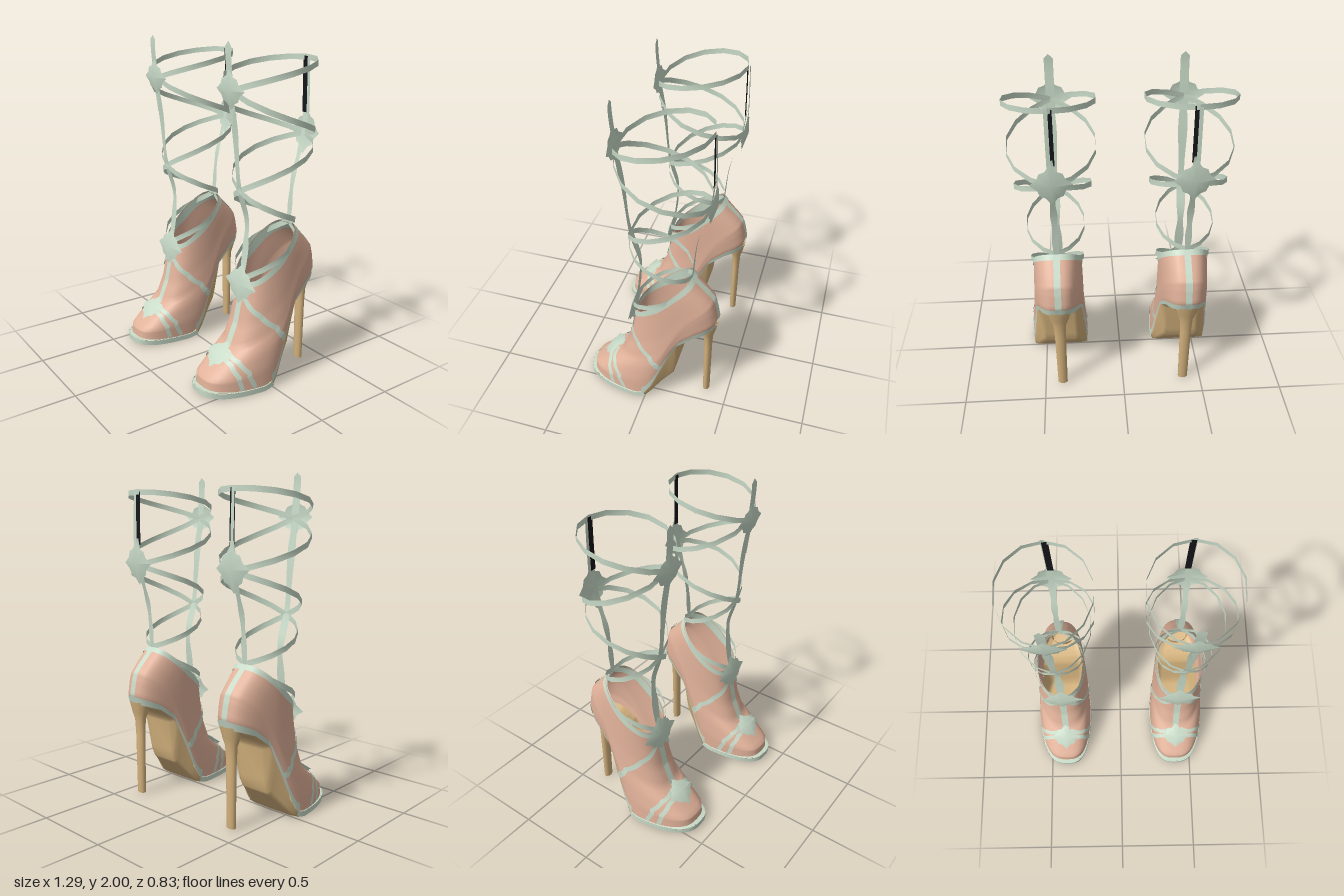
import * as THREE from 'three';

const mat = (name, color) => {
  const m = new THREE.MeshStandardMaterial({ color, side: THREE.DoubleSide });
  m.name = name;
  return m;
};
const V = (x, y, z) => new THREE.Vector3(x, y, z);
const { lerp, smoothstep, clamp } = THREE.MathUtils;
const PI = Math.PI;

// Piecewise linear lookup in a list of [key, value] with rising keys
function lookup(table, k) {
  for (let i = 1; i < table.length; i++) {
    const [k0, v0] = table[i - 1], [k1, v1] = table[i];
    if (k <= k1) return lerp(v0, v1, clamp((k - k0) / (k1 - k0), 0, 1));
  }
  return table[table.length - 1][1];
}

// Rings of the upper: front z, front y, back z, back y, half width, arch amount
const RINGS = [
  [0.385, 0.05, -0.40, 0.60, 0.185, 1],
  [0.38, 0.10, -0.415, 0.66, 0.185, 0.8],
  [0.29, 0.175, -0.40, 0.74, 0.178, 0.6],
  [0.19, 0.25, -0.385, 0.79, 0.167, 0.4],
  [0.135, 0.38, -0.35, 0.83, 0.158, 0.25],
  [0.105, 0.52, -0.30, 0.88, 0.153, 0.1],
  [0.085, 0.64, -0.245, 0.935, 0.148, 0],
];
const TOP = RINGS.length - 1;
// Lower edge compared with a straight line from toe to heel
const ARCH = [[0, 0], [0.12, -0.075], [0.25, -0.15], [0.42, -0.245], [0.49, -0.27], [0.55, -0.225],
  [0.61, -0.13], [0.73, 0.025], [0.86, 0.035], [1, 0]];
// Underside of the sole, by z
const UNDER = [[-0.42, 0.585], [-0.25, 0.53], [-0.195, 0.44], [-0.18, 0.2], [0, 0.005], [0.2, 0.008], [0.41, 0.02]];

// Point on the upper: a runs round from the toe, t from sole to collar
function upperPoint(a, t, s) {
  const i = Math.min(Math.floor(t), TOP - 1);
  const [fz, fy, bz, by, w, f] = RINGS[i].map((v, k) => lerp(v, RINGS[i + 1][k], t - i));
  const u = (1 - Math.cos(a)) / 2, sn = Math.sin(a);
  const width = w * (1 - 0.19 * f * smoothstep(u, 0.4, 0.75));
  const bump = s * 0.015 * f * sn * sn * (1 - smoothstep(u, 0.4, 0.8));
  return V(Math.sign(sn) * Math.abs(sn) ** 0.68 * width + bump, lerp(fy, by, u) + f * lookup(ARCH, u), lerp(fz, bz, u));
}
function upperNormal(a, t, s) {
  const e = 0.04, t0 = Math.max(0, t - e), t1 = Math.min(TOP, t + e);
  const da = upperPoint(a + e, t, s).sub(upperPoint(a - e, t, s));
  return da.cross(upperPoint(a, t1, s).sub(upperPoint(a, t0, s))).normalize();
}

// Surface through rows of points
function skin(rows, closed) {
  const n = rows[0].length, idx = [];
  for (let i = 0; i < rows.length - 1; i++)
    for (let j = 0; j < (closed ? n : n - 1); j++) {
      const k = (j + 1) % n, a = i * n + j, b = i * n + k;
      idx.push(a, b, a + n, b, b + n, a + n);
    }
  const g = new THREE.BufferGeometry().setFromPoints(rows.flat());
  g.setIndex(idx);
  g.computeVertexNormals();
  return g;
}

// Flat strap along points, facing along the normals
function ribbon(pts, normals, half) {
  const L = [], R = [];
  pts.forEach((p, i) => {
    const tan = pts[Math.min(i + 1, pts.length - 1)].clone().sub(pts[Math.max(i - 1, 0)]);
    const side = normals[i].clone().cross(tan).normalize();
    const h = typeof half === 'function' ? half(i / (pts.length - 1)) : half;
    L.push(p.clone().addScaledVector(side, h));
    R.push(p.clone().addScaledVector(side, -h));
  });
  return skin([R, L], false);
}

// Domed star with four long points and four short lobes
function star(rx, ry) {
  const g = new THREE.CircleGeometry(1, 16), p = g.attributes.position;
  const radii = [1, 0.7, 0.76, 0.7];
  for (let i = 0; i < p.count; i++) {
    const k = i === 0 ? 0 : radii[(i - 1) % 4];
    p.setXYZ(i, p.getX(i) * k * rx, p.getY(i) * k * ry, i === 0 ? 0.025 : 0.012 * (1 - k));
  }
  g.computeVertexNormals();
  return g;
}

function buildShoe(s, M) {
  const shoe = new THREE.Group();
  const add = (name, geo, m) => {
    const mesh = new THREE.Mesh(geo, m);
    mesh.name = name;
    shoe.add(mesh);
    return mesh;
  };
  const range = (n, f) => Array.from({ length: n + 1 }, (_, i) => f(i / n));

  // Leather upper
  const rows = range(24, k => range(47, q => upperPoint(q * 47 / 48 * PI * 2, k * TOP, s)));
  add('upper', skin(rows, true), M.leather);

  // Sole shell with the raised shank
  const soleRows = range(60, q => {
    const a = 0.02 + q * (PI - 0.04);
    const l = upperPoint(a, 0, s), r = upperPoint(-a, 0, s);
    const z = l.z > 0 ? l.z * 1.06 : l.z, mid = (l.x + r.x) / 2, w = (l.x - r.x) / 2;
    const y = Math.min(lookup(UNDER, z), l.y - 0.01), n = lerp(0.98, 0.78, smoothstep(-z, 0, 0.18));
    const half = [[1, l.y], [n, lerp(y, l.y, 0.15)], [n * 0.8, y]];
    return [...half.map(([k, h]) => V(mid + w * k, h, z)), ...half.reverse().map(([k, h]) => V(mid - w * k, h, z))];
  });
  add('sole', skin(soleRows, false), M.sole);

  // Stiletto heel, wider than deep
  const heel = new THREE.LatheGeometry([[0, 0.008], [0.021, 0.008], [0.024, 0.4], [0.028, 0.49], [0.042, 0.545], [0.055, 0.61]]
    .map(p => new THREE.Vector2(...p)), 14);
  heel.scale(1.45, 1, 1);
  add('heel', heel, M.sole).position.z = -0.36;

  // Rim round the forefoot and the ledge that closes it to the upper
  const edge = range(40, q => upperPoint(lerp(-1.55, 1.55, q), 0, s));
  const rim = edge.map(p => V(p.x * 1.02, p.y - 0.018, p.z > 0 ? p.z * 1.07 : p.z));
  add('soleRim', ribbon(rim, rim.map(p => V(p.x, 0, p.z).normalize()), 0.016), M.trim);
  add('soleLedge', skin([rim.map(p => V(p.x, p.y + 0.016, p.z)), edge], false), M.trim);

  // Trim panels that follow the upper between two heights, given by a
  const panel = (name, a0, a1, low, high, lift) => {
    const grid = range(3, k => range(64, q => {
      const a = lerp(a0, a1, q), t = lerp(low(a), high(a), lift > 0 ? k : 1 - k);
      return upperPoint(a, t, s).addScaledVector(upperNormal(a, t, s), lift);
    }));
    add(name, skin(grid, false), M.trim);
  };
  const back = a => (1 - Math.cos(a)) / 2;
  panel('lowerTrim', 1.5, PI * 2 - 1.5, () => 0, a => lerp(0.25, 0.8, back(a)), 0.005);
  panel('collarOuter', 0, PI * 2, a => lerp(5.72, 5.55, back(a)), () => TOP, 0.005);
  panel('collarInner', 0, PI * 2, a => lerp(5.72, 5.05, back(a)), () => TOP, -0.006);

  // Narrow bands lying on the upper, each a path of [a, t]
  const band = (name, path, half) => {
    const at = (q, k) => lookup(path.map((p, i) => [i / (path.length - 1), p[k]]), q);
    const ns = [];
    const pts = range(60, q => {
      const a = at(q, 0), t = at(q, 1), n = upperNormal(a, t, s);
      ns.push(n);
      return upperPoint(a, t, s).addScaledVector(n, 0.006);
    });
    add(name, ribbon(pts, ns, half), M.trim);
  };
  band('frontSeam', [[0, 2.2], [0, TOP]], 0.022);
  band('backSeam', [[PI, 0.1], [PI, TOP]], 0.02);
  for (const d of [-1, 1]) {
    const side = (name, path, half) => band(name, path.map(([a, t]) => [a * d, t]), half);
    side('toeStrap', [[0.05, 2.5], [0.5, 2], [0.88, 1.1], [0.97, 0.1]], 0.014);
    side('toeStrap', [[0.1, 2.75], [0.65, 2.1], [1.05, 1.2], [1.2, 0.1]], 0.014);
    side('instepStrap', [[0.1, 5.2], [0.8, 4.2], [1.35, 3], [1.62, 2], [1.8, 0.5]], 0.016);
  }

  // Straps winding up the leg: [z, y] at each crossing, then sideways reach and
  // how much faster each strap climbs near the front
  const turns = [[0.11, 0.65], [-0.25, 0.94], [0.12, 1.18], [-0.35, 1.46], [0.18, 1.74], [-0.35, 1.895]];
  const winds = [[0.165, 0], [0.175, 0.3], [0.225, 0.4], [0.255, 0.4], [0.26, 1]];
  for (const d of [-1, 1])
    winds.forEach(([r, quick], i) => {
      const ends = [turns[i], turns[i + 1]];
      const [[fz, fy], [bz, by]] = i % 2 ? ends.reverse() : ends;
      const ns = [];
      const pts = range(7, q => {
        const th = q * PI, x = d * Math.sin(th);
        ns.push(V(x, 0, Math.cos(th)));
        return V(x * r, lerp(fy, by, lerp(q, Math.sin(th / 2), quick)), lerp(fz, bz, (1 - Math.cos(th)) / 2));
      });
      add('legStrap', ribbon(pts, ns, 0.016), M.trim);
    });

  // Upright stems in front and behind, and the top fastening
  const stem = (name, pts, face, half, m, x = 0) => {
    const c = new THREE.CatmullRomCurve3(pts.map(([z, y]) => V(x, y, z))).getPoints(48);
    add(name, ribbon(c, c.map(() => V(0, 0, face)), half), m);
  };
  stem('frontStem', [[0.1, 0.62], [0.07, 0.85], [0.065, 1.0], [0.12, 1.2], [0.15, 1.5], [0.185, 1.75]], 1,
    q => 0.018 + 0.01 * Math.sin(q * PI * 3) ** 2, M.trim);
  stem('frontSpear', [[0.17, 1.52], [0.185, 1.75], [0.2, 1.93], [0.2, 2.0]], 1,
    q => 0.026 * Math.min(1, (1 - q) * 8, q * 4), M.trim);
  stem('backStem', [[-0.25, 0.93], [-0.275, 1.2], [-0.335, 1.42], [-0.36, 1.62]], -1,
    q => 0.015 + 0.006 * Math.sin(q * PI * 4) ** 2, M.trim);
  stem('backFastening', [[-0.352, 1.58], [-0.35, 1.75], [-0.346, 1.9]], 1, 0.018, M.black, -s * 0.006);
  stem('backFasteningCover', [[-0.368, 1.58], [-0.364, 1.75], [-0.358, 1.9]], -1, 0.011, M.trim, s * 0.008);

  // Star ornaments: y, z, half width, half height, tilt, turn
  [['calfStar', 1.745, 0.185, 0.125, 0.11, 0.08, 0], ['backStar', 1.47, -0.354, 0.12, 0.135, -0.1, PI],
    ['throatStar', 0.62, 0.105, 0.145, 0.12, -0.12, 0], ['toeStar', 0.215, 0.258, 0.105, 0.095, -0.85, 0]]
    .forEach(([name, y, z, rx, ry, tilt, turn]) => {
      const m = add(name, star(rx, ry), M.trim);
      m.position.set(0, y, z);
      m.rotation.set(tilt, turn, 0);
    });
  return shoe;
}

export function createModel() {
  const M = {
    leather: mat('peach leather', 0xe0b199),
    trim: mat('pale green trim', 0xc8dac8),
    sole: mat('tan sole', 0xd5b37e),
    black: mat('black fastening', 0x15161a),
  };
  const model = new THREE.Group();
  for (const s of [1, -1]) {
    const shoe = buildShoe(s, M);
    shoe.name = s > 0 ? 'leftShoe' : 'rightShoe';
    shoe.position.x = s * 0.39;
    model.add(shoe);
  }
  return model;
}
